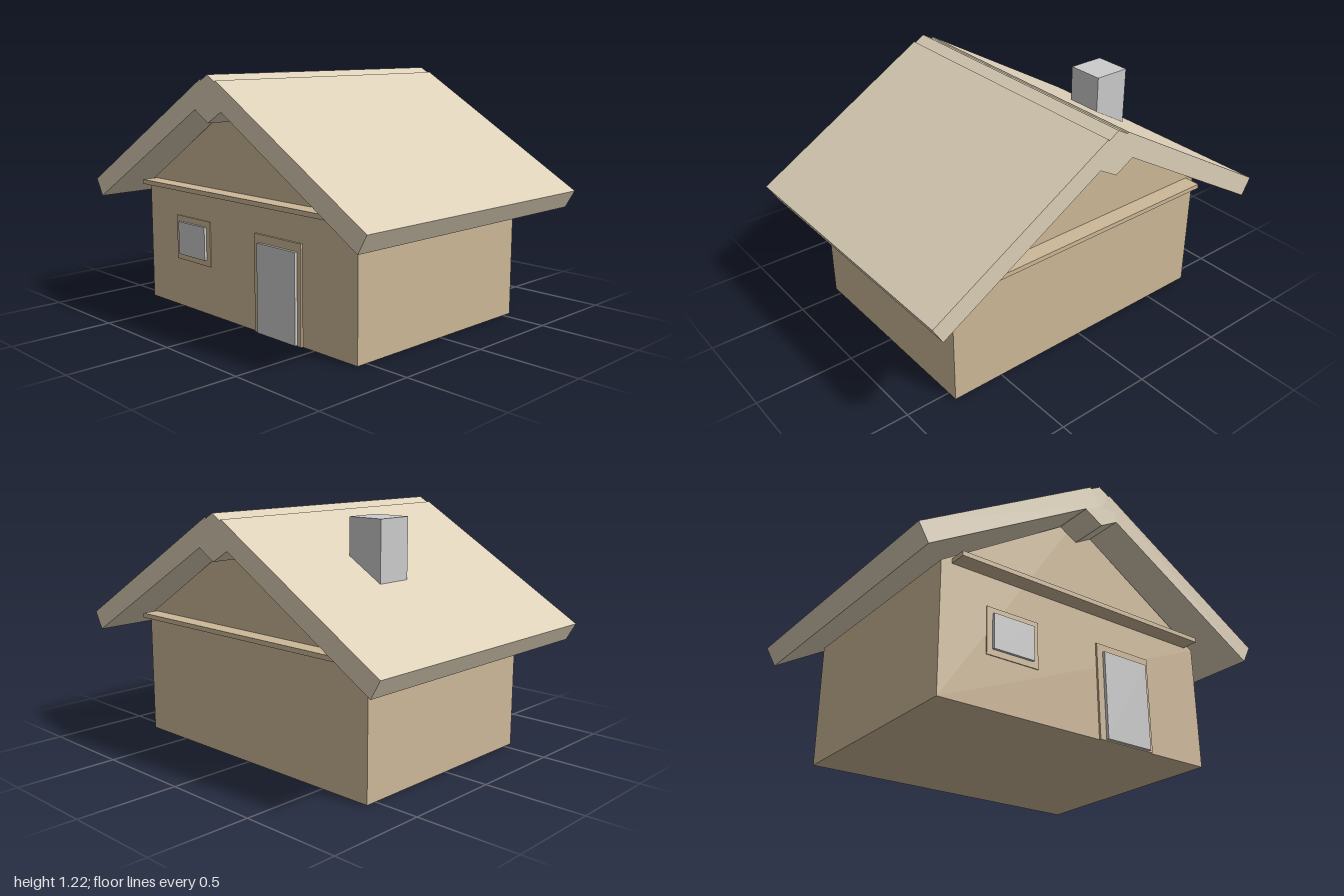
import * as THREE from 'three';

const wallMat = new THREE.MeshStandardMaterial({ color: 0xcdb898 });
const roofMat = new THREE.MeshStandardMaterial({ color: 0xddd0b8 });
const greyMat = new THREE.MeshStandardMaterial({ color: 0xcccccc });

export function createModel() {
  const house = new THREE.Group();
  house.name = 'house';

  const add = (name, geometry, material) => {
    const mesh = new THREE.Mesh(geometry, material);
    mesh.name = name;
    house.add(mesh);
    return mesh;
  };

  // Box given by its extents on each axis
  const box = (name, [x0, x1], [y0, y1], [z0, z1], material) =>
    add(name, new THREE.BoxGeometry(x1 - x0, y1 - y0, z1 - z0), material)
      .position.set((x0 + x1) / 2, (y0 + y1) / 2, (z0 + z1) / 2);

  // Outline in x, y extruded evenly to both sides of z = 0
  const prism = (name, points, halfDepth, material) => {
    const shape = new THREE.Shape(points.map(([x, y]) => new THREE.Vector2(x, y)));
    const geometry = new THREE.ExtrudeGeometry(shape, { depth: halfDepth * 2, bevelEnabled: false });
    add(name, geometry.translate(0, 0, -halfDepth), material);
  };

  // Walls with gables
  prism('walls', [[-0.77, 0], [0.77, 0], [0.77, 0.63], [0, 1.115], [-0.77, 0.63]], 0.555, wallMat);

  // Ledge under each gable
  for (const [name, z] of [['frontLedge', [0.54, 0.64]], ['backLedge', [-0.64, -0.54]]])
    box(name, [-0.715, 0.715], [0.63, 0.653], z, wallMat);

  // Sloping roof slabs
  for (const [name, s] of [['leftRoofSlab', 1], ['rightRoofSlab', -1]])
    prism(name, [[s, 0.637], [s * 0.95, 0.55], [s * 0.01, 1.108], [s * 0.06, 1.195]], 0.745, roofMat);

  // Six-sided ridge beam, one edge up
  const ridge = new THREE.CylinderGeometry(0.11, 0.11, 1.49, 6).toNonIndexed();
  ridge.rotateX(Math.PI / 2);
  ridge.computeVertexNormals();
  add('ridgeBeam', ridge, roofMat).position.y = 1.11;

  // Chimney
  box('chimney', [-0.555, -0.365], [0.78, 1.195], [-0.235, -0.045], greyMat);

  // Door and window, each on a thin surround
  box('doorFrame', [0.1, 0.425], [0, 0.48], [0.54, 0.565], wallMat);
  box('door', [0.135, 0.4], [0.005, 0.44], [0.55, 0.58], greyMat);
  box('windowFrame', [-0.53, -0.25], [0.25, 0.48], [0.54, 0.56], wallMat);
  box('windowPane', [-0.5, -0.28], [0.28, 0.45], [0.55, 0.573], greyMat);

  return house;
}
